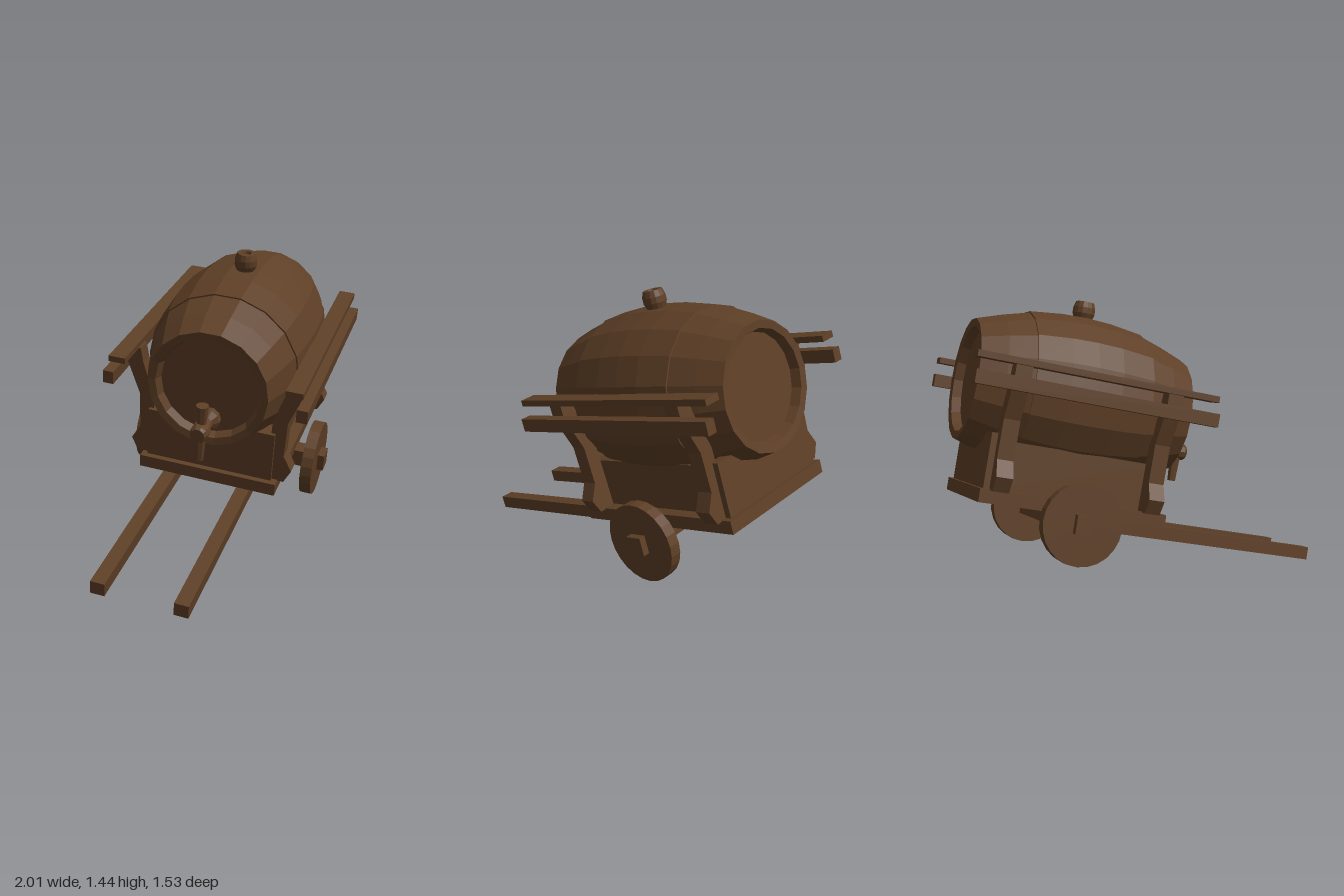
import * as THREE from 'three';

const wood = new THREE.MeshStandardMaterial({ color: 0x5e3f26, flatShading: true });

function add(parent, name, geometry, x = 0, y = 0, z = 0) {
  const mesh = new THREE.Mesh(geometry, wood);
  mesh.name = name;
  mesh.position.set(x, y, z);
  parent.add(mesh);
  return mesh;
}

// Box given by its min/max along each cart axis
function beam(parent, name, [x0, x1], [y0, y1], [z0, z1]) {
  return add(parent, name, new THREE.BoxGeometry(x1 - x0, y1 - y0, z1 - z0),
    (x0 + x1) / 2, (y0 + y1) / 2, (z0 + z1) / 2);
}

function lathe(points, sides) {
  return new THREE.LatheGeometry(points.map(([r, y]) => new THREE.Vector2(r, y)), sides);
}

export function createModel() {
  const model = new THREE.Group();
  model.name = 'barrelCart';

  // Cart frame: x runs to the back, y up, z to the left; the whole cart is tipped and turned
  const cart = new THREE.Group();
  cart.name = 'cart';
  const back = new THREE.Vector3(0.828, 0.216, -0.517).normalize();
  const up = new THREE.Vector3(0.548, -0.121, 0.827).cross(back).normalize();
  const left = back.clone().cross(up);
  cart.quaternion.setFromRotationMatrix(new THREE.Matrix4().makeBasis(back, up, left));
  cart.position.copy(left).multiplyScalar(-0.015);
  model.add(cart);

  // Bed, trough and axle
  beam(cart, 'bed', [-0.09, 0.86], [0.32, 0.385], [-0.36, 0.36]);
  beam(cart, 'trough', [-0.03, 0.81], [0.385, 0.62], [-0.30, 0.30]);
  for (const x of [-0.06, 0.79])
    beam(cart, 'troughEnd', [x, x + 0.05], [0.385, 0.65], [-0.33, 0.33]);
  beam(cart, 'axle', [0.335, 0.425], [0.245, 0.335], [-0.525, 0.525]);

  // Splayed post outline: z outward, y up
  const postShape = new THREE.Shape([
    [0.30, 0.38], [0.39, 0.38], [0.425, 0.45], [0.38, 0.53], [0.385, 0.72],
    [0.455, 0.90], [0.455, 0.975], [0.385, 0.975], [0.37, 0.90], [0.31, 0.72],
  ].map(([z, y]) => new THREE.Vector2(z, y)));

  for (const side of [1, -1]) {
    // Wheel
    const wheel = new THREE.CylinderGeometry(0.197, 0.197, 0.06, 24);
    wheel.rotateX(Math.PI / 2);
    add(cart, 'wheel', wheel, 0.38, 0.289, side * 0.46);

    // Pull handle
    beam(cart, 'handle', [-1.01, 0.36], [0.252, 0.318],
      [side * 0.196 - 0.034, side * 0.196 + 0.034]);

    // Side rails
    beam(cart, 'lowerRail', [-0.22, 1.0], [0.85, 0.915],
      [side * 0.482 - 0.027, side * 0.482 + 0.027]);
    beam(cart, 'upperRail', [-0.22, 1.0], [0.972, 1.002],
      [side * 0.437 - 0.042, side * 0.437 + 0.042]);

    // Posts; the right ones are the left ones turned half round
    for (const x of [0.0, 0.77]) {
      const post = new THREE.ExtrudeGeometry(postShape, { depth: 0.08, bevelEnabled: false });
      post.translate(0, 0, -0.04);
      add(cart, 'post', post, x, 0, 0).rotation.y = -side * Math.PI / 2;
    }
  }

  // Barrel with recessed heads and a slightly raised belly
  const half = [[0, 0.505], [0.25, 0.505], [0.265, 0.55], [0.302, 0.555],
    [0.345, 0.43], [0.382, 0.30], [0.389, 0.30], [0.41, 0.13]];
  const profile = [...half.map(([r, y]) => [r, -y]), [0.415, 0], ...half.slice().reverse()];
  const barrel = lathe(profile, 18);
  barrel.rotateZ(-Math.PI / 2);
  add(cart, 'barrel', barrel, 0.385, 0.892, 0.005);

  // Bung
  add(cart, 'bung', lathe([[0, -0.07], [0.043, -0.07], [0.045, 0.0], [0.057, 0.03], [0.057, 0.06],
    [0.047, 0.09], [0.025, 0.09], [0.02, 0.075], [0, 0.075]], 14), 0.385, 1.297, 0.005);

  // Tap: stem with flange, key and spout
  const tap = new THREE.Group();
  tap.name = 'tap';
  tap.position.set(-0.12, 0.715, 0.01);
  cart.add(tap);
  const stem = lathe([[0, 0], [0.06, 0], [0.06, 0.03], [0.035, 0.06], [0.035, 0.10],
    [0.045, 0.11], [0.045, 0.17], [0.035, 0.185], [0, 0.185]], 10);
  stem.rotateZ(Math.PI / 2);
  add(tap, 'stem', stem);
  add(tap, 'key', new THREE.CylinderGeometry(0.032, 0.022, 0.12, 8), -0.125, 0.075, 0);
  add(tap, 'spout', new THREE.CylinderGeometry(0.03, 0.022, 0.16, 8), -0.135, -0.08, 0);

  return model;
}
